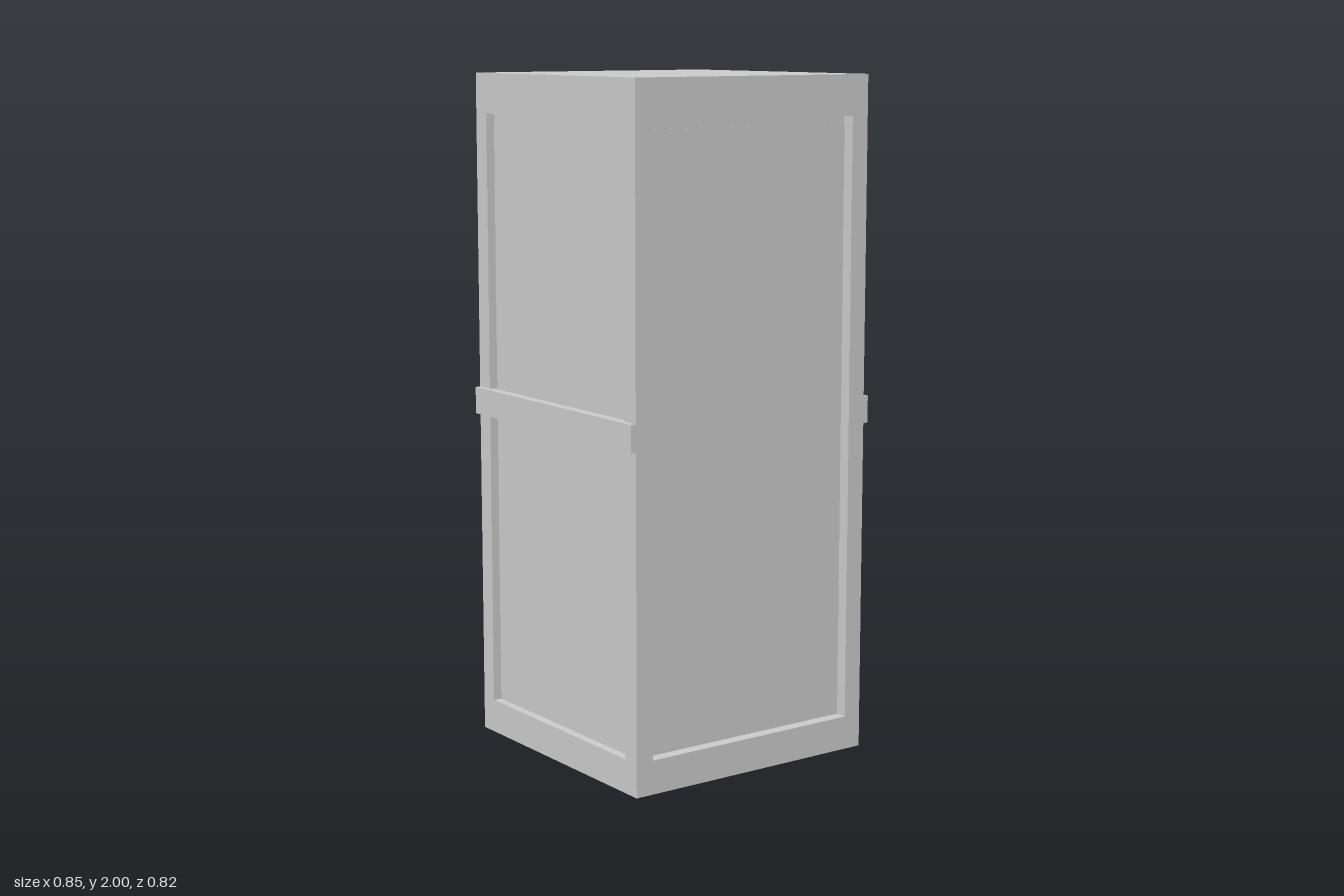
import * as THREE from 'three';

export function createModel() {
  const group = new THREE.Group();
  const grey = new THREE.MeshStandardMaterial({ color: 0xc9c9c9 });
  grey.name = 'light grey';

  // Box given by its lower and upper corners
  const box = (name, x0, x1, y0, y1, z0, z1) => {
    const mesh = new THREE.Mesh(new THREE.BoxGeometry(x1 - x0, y1 - y0, z1 - z0), grey);
    mesh.position.set((x0 + x1) / 2, (y0 + y1) / 2, (z0 + z1) / 2);
    mesh.name = name;
    group.add(mesh);
    return mesh;
  };

  const half = 0.408;    // outer half width
  const inner = 0.352;   // inner faces of the posts
  const floorY = 0.1, lintelY = 1.882, ceilingY = 1.86;

  // Base, roof and the ceiling slab hanging just below the roof
  box('base', -half, half, 0, floorY, -half, half);
  box('roof', -half, half, lintelY, 2, -half, half);
  box('ceiling', -0.38, 0.38, ceilingY, lintelY, -0.37, 0.37);

  // Corner posts
  for (const sx of [-1, 1]) {
    for (const sz of [-1, 1]) {
      const post = box('cornerPost', inner, half, floorY, lintelY, inner, half);
      post.position.x *= sx;
      post.position.z *= sz;
    }
  }

  // Recessed side panels, each with a raised rail outside
  for (const s of [-1, 1]) {
    const panel = box('sidePanel', 0.366, 0.382, floorY, ceilingY, -inner, inner);
    const rail = box('sideRail', 0.395, 0.424, 0.985, 1.065, -half, half);
    panel.position.x *= s;
    rail.position.x *= s;
  }

  // Recessed front panel with a bar across its inside; the back stays open
  box('frontPanel', -inner, inner, floorY, ceilingY, inner, 0.372);
  box('innerBar', -0.366, 0.366, 0.825, 0.91, 0.332, inner);

  return group;
}
